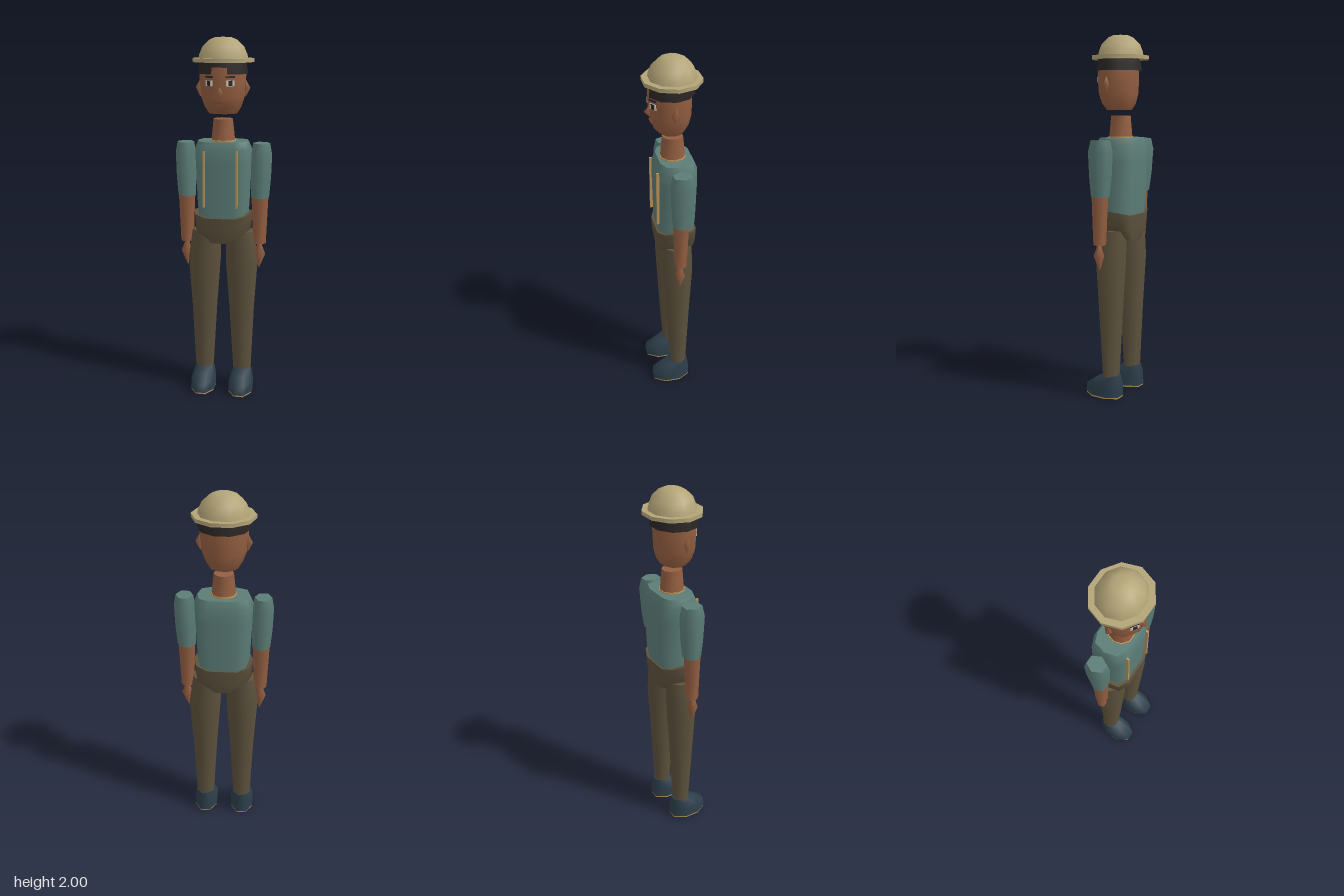
import * as THREE from 'three';

const mat = (name, color, side = THREE.FrontSide) => {
  const m = new THREE.MeshStandardMaterial({ color, side });
  m.name = name;
  return m;
};

// Rings [y, cx, cz, rx, rz] joined into a smooth-sided, flat-capped body.
// phase: fraction of a side to turn; p: below 1 gives boxier rings; lift: raises the sides of the last ring.
function loft(rings, n, { phase = 0, p = 1, lift = 0 } = {}) {
  const pos = [], idx = [];
  const bend = (v) => Math.sign(v) * Math.pow(Math.abs(v), p);
  const addRing = ([y, cx, cz, rx, rz], up) => {
    for (let j = 0; j < n; j++) {
      const a = ((j + phase) / n) * Math.PI * 2;
      const c = Math.cos(a);
      pos.push(cx + rx * bend(c), y + up * c * c, cz + rz * bend(Math.sin(a)));
    }
  };
  const last = rings.length - 1;
  rings.forEach((r, i) => addRing(r, i === last ? lift : 0));
  for (let i = 0; i < last; i++) {
    for (let j = 0; j < n; j++) {
      const a = i * n + j, b = i * n + ((j + 1) % n);
      idx.push(a, a + n, b, b, a + n, b + n);
    }
  }
  // End caps with their own corners
  for (const [r, top] of [[rings[0], false], [rings[last], true]]) {
    const base = pos.length / 3;
    addRing(r, top ? lift : 0);
    pos.push(r[1], r[0], r[2]);
    for (let j = 0; j < n; j++) {
      const a = base + j, b = base + ((j + 1) % n);
      idx.push(base + n, top ? b : a, top ? a : b);
    }
  }
  const g = new THREE.BufferGeometry();
  g.setAttribute('position', new THREE.Float32BufferAttribute(pos, 3));
  g.setIndex(idx);
  g.computeVertexNormals();
  return g;
}

export function createModel() {
  const skin = mat('skin', 0x935e40);
  const shirt = mat('shirt', 0x5c7d77);
  const trousers = mat('trousers', 0x5c513c);
  const straw = mat('straw', 0xb3a477);
  const hair = mat('hair', 0x2a2524, THREE.DoubleSide);
  const shoe = mat('shoe', 0x2c3e4a);
  const strap = mat('strap', 0xb8935a);
  const eyeWhite = mat('eyeWhite', 0xc9c6ba);
  const lip = mat('lip', 0x7a4238);

  const model = new THREE.Group();
  model.name = 'standingMan';
  const add = (name, geometry, material, x = 0, y = 0, z = 0, ry = 0) => {
    const m = new THREE.Mesh(geometry, material);
    m.name = name;
    m.position.set(x, y, z);
    m.rotation.y = ry;
    model.add(m);
    return m;
  };

  // Hat
  add('hatBrim', loft([[1.87, 0, 0, 0.167, 0.157], [1.89, 0, 0, 0.167, 0.157]], 10), straw);
  add('hatCrown', loft([
    [1.885, 0, -0.002, 0.135, 0.126], [1.91, 0, -0.002, 0.13, 0.122], [1.95, 0, -0.002, 0.112, 0.107],
    [1.985, 0, -0.002, 0.075, 0.07], [1.998, 0, -0.002, 0.045, 0.042], [2.0, 0, -0.002, 0.002, 0.002],
  ], 10), straw);

  // Head
  add('head', loft([
    [1.6, 0, 0.005, 0.078, 0.068], [1.635, 0, 0.01, 0.1, 0.095], [1.69, 0, 0.012, 0.119, 0.11],
    [1.76, 0, 0.012, 0.126, 0.113], [1.82, 0, 0.012, 0.126, 0.113], [1.872, 0, 0.01, 0.12, 0.108],
  ], 10), skin);

  // Hair: a full upper band, and a lower band left open over the forehead
  const hairBand = (name, yLow, yHigh, rLow, rHigh, open) => {
    const arc = Math.PI * 2 * (open ? 0.9 : 1);
    const g = new THREE.CylinderGeometry(rHigh, rLow, yHigh - yLow, open ? 9 : 10, 1, true, Math.PI / 10, arc);
    add(name, g, hair, 0, (yLow + yHigh) / 2, 0.008).scale.z = 0.92;
  };
  hairBand('hairTop', 1.845, 1.875, 0.131, 0.126, false);
  hairBand('hairSides', 1.81, 1.845, 0.136, 0.131, true);

  // Face
  add('nose', loft([
    [1.69, 0, 0.118, 0.002, 0.002], [1.717, 0, 0.12, 0.019, 0.027], [1.745, 0, 0.118, 0.002, 0.002],
  ], 4), skin);
  add('mouth', new THREE.BoxGeometry(0.055, 0.007, 0.008), lip, 0, 1.664, 0.112);

  // Neck and torso
  add('neck', loft([[1.44, 0, -0.003, 0.067, 0.067], [1.57, 0, -0.003, 0.053, 0.056]], 10), skin);
  add('collar', loft([[1.44, 0, -0.003, 0.071, 0.071], [1.457, 0, -0.003, 0.07, 0.07]], 10), strap);
  add('shirtBody', loft([
    [1.0, 0, -0.01, 0.138, 0.098], [1.1, 0, -0.011, 0.146, 0.105], [1.33, 0, -0.012, 0.156, 0.111],
    [1.41, 0, -0.012, 0.158, 0.108], [1.45, 0, -0.012, 0.14, 0.092],
  ], 10, { p: 0.6 }), shirt);
  add('hips', loft([
    [0.89, 0, -0.008, 0.075, 0.1], [0.96, 0, -0.008, 0.157, 0.109], [1.03, 0, -0.008, 0.164, 0.112],
  ], 10, { p: 0.6, lift: 0.03 }), trousers);

  // Paired parts: left is +x
  for (const [side, s] of [['left', 1], ['right', -1]]) {
    const turn = s * 0.58;
    add(side + 'Eye', new THREE.BoxGeometry(0.044, 0.03, 0.006), eyeWhite, s * 0.056, 1.765, 0.109, turn);
    add(side + 'Pupil', new THREE.BoxGeometry(0.021, 0.027, 0.008), hair, s * 0.0565, 1.765, 0.11, turn);
    add(side + 'Brow', new THREE.BoxGeometry(0.05, 0.009, 0.009), hair, s * 0.056, 1.797, 0.11, turn);
    add(side + 'Ear', loft([
      [1.69, s * 0.123, 0.01, 0.002, 0.002], [1.737, s * 0.127, 0.01, 0.021, 0.021], [1.778, s * 0.123, 0.01, 0.002, 0.002],
    ], 4), skin);
    add(side + 'Suspender', new THREE.BoxGeometry(0.011, 0.31, 0.015), strap, s * 0.09, 1.25, 0.097);

    // Arm
    add(side + 'Sleeve', loft([
      [1.14, s * 0.205, -0.005, 0.05, 0.05], [1.25, s * 0.208, -0.008, 0.056, 0.062],
      [1.38, s * 0.211, -0.01, 0.057, 0.069], [1.44, s * 0.21, -0.01, 0.047, 0.055],
    ], 6), shirt);
    add(side + 'Forearm', loft([
      [0.88, s * 0.205, 0, 0.036, 0.034], [1.15, s * 0.205, -0.002, 0.047, 0.044],
    ], 6), skin);
    add(side + 'Hand', loft([
      [0.74, s * 0.203, 0.003, 0.003, 0.003], [0.82, s * 0.209, 0.003, 0.03, 0.028], [0.885, s * 0.205, 0.003, 0.009, 0.007],
    ], 6), skin);

    // Leg
    add(side + 'Leg', loft([
      [0.12, s * 0.11, -0.01, 0.053, 0.046], [0.5, s * 0.107, -0.007, 0.073, 0.067],
      [0.78, s * 0.106, -0.007, 0.094, 0.082], [0.95, s * 0.095, -0.007, 0.08, 0.082],
    ], 8, { phase: 0.5 }), trousers);

    // Shoe
    add(side + 'Sole', loft([
      [0, s * 0.11, 0.035, 0.07, 0.113], [0.016, s * 0.11, 0.035, 0.071, 0.115],
    ], 8, { phase: 0.5 }), strap);
    add(side + 'Shoe', loft([
      [0.009, s * 0.11, 0.035, 0.0715, 0.1155], [0.06, s * 0.11, 0.034, 0.071, 0.113],
      [0.1, s * 0.11, 0.007, 0.062, 0.08], [0.128, s * 0.11, -0.015, 0.05, 0.05],
    ], 8, { phase: 0.5 }), shoe);
  }
  return model;
}
